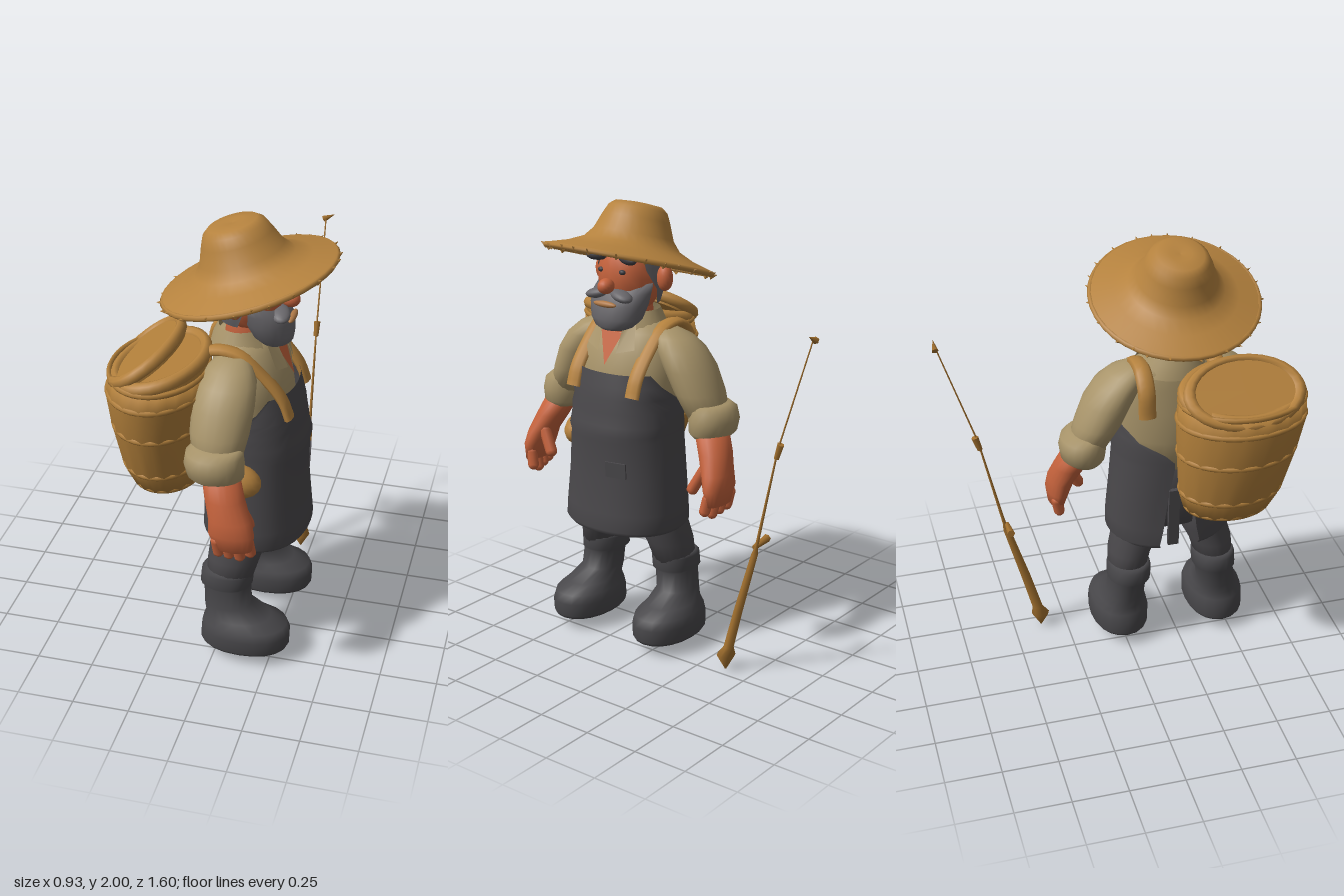
import * as THREE from 'three';

const MID = 0.23; // the figure's own mirror plane (z); it looks along +x
const mat = (name, color, side = THREE.DoubleSide) => {
  const m = new THREE.MeshStandardMaterial({ color, side });
  m.name = name;
  return m;
};

// Skin over horizontal oval sections [x, y, z, rx, rz, halfAngle]; closed when no halfAngle is given
function loft(secs, { seg = 20, mid = 0, power = 1, rib = 0 } = {}) {
  const pos = [], idx = [];
  const open = secs[0][5] !== undefined;
  const pow = (v) => Math.sign(v) * Math.abs(v) ** power;
  const rows = open ? secs : [[...secs[0].slice(0, 3), 0, 0], ...secs, [...secs.at(-1).slice(0, 3), 0, 0]];
  const cols = open ? seg + 1 : seg;
  for (const [x, y, z, rx, rz, half = Math.PI] of rows)
    for (let i = 0; i < cols; i++) {
      const a = mid - half + (2 * half * i) / seg;
      const k = 1 + rib * (i % 2);
      pos.push(x + rx * k * pow(Math.cos(a)), y, z + rz * k * pow(Math.sin(a)));
    }
  for (let j = 0; j < rows.length - 1; j++)
    for (let i = 0; i < seg; i++) {
      const a = j * cols + i, b = j * cols + ((i + 1) % cols);
      idx.push(a, a + cols, b, b, a + cols, b + cols);
    }
  const g = new THREE.BufferGeometry();
  g.setAttribute('position', new THREE.Float32BufferAttribute(pos, 3));
  g.setIndex(idx);
  g.computeVertexNormals();
  return g;
}

// Flat convex plate from a few corners
function plate(pts) {
  const g = new THREE.BufferGeometry();
  g.setAttribute('position', new THREE.Float32BufferAttribute(pts.flat(), 3));
  g.setIndex(pts.slice(2).flatMap((_, i) => [0, i + 1, i + 2]));
  g.computeVertexNormals();
  return g;
}

export function createModel() {
  const root = new THREE.Group();
  const M = {
    skin: mat('skin', 0xc4623c), shirt: mat('shirt cloth', 0xa8946a),
    dark: mat('dark cloth', 0x4a484b), boot: mat('boot rubber', 0x48474a),
    straw: mat('straw', 0xb5823e), wicker: mat('wicker', 0xb07e3a),
    beard: mat('grey hair', 0x69676b), brow: mat('dark brow', 0x3e3d42),
    lip: mat('lip', 0xb07a48), wood: mat('rod wood', 0xa3712f),
  };
  const add = (name, geo, m, p = [0, 0, 0], s = [1, 1, 1], r = [0, 0, 0], parent = root) => {
    const o = new THREE.Mesh(geo, m);
    o.name = name;
    o.position.set(...p); o.scale.set(...s); o.rotation.set(...r);
    parent.add(o);
    return o;
  };
  const ball = new THREE.SphereGeometry(1, 18, 12);
  const torso = (rows) => rows.map(([x, y, rx, rz, h]) => [x, y, MID, rx, rz, h]);

  // Torso, collar and apron
  add('shirt', loft(torso([[.115, .95, .17, .22], [.11, 1.1, .185, .235], [.1, 1.25, .175, .245], [.1, 1.36, .16, .235],
    [.07, 1.44, .13, .19], [.06, 1.49, .1, .12]])), M.shirt);
  add('collar', loft(torso([[.065, 1.42, .145, .165, 2.5], [.06, 1.48, .125, .135, 2.5], [.06, 1.53, .1, .115, 2.5]]),
    { mid: Math.PI }), M.shirt);
  add('neckline', plate([[.283, 1.31, MID], [.225, 1.45, MID + .06], [.225, 1.45, MID - .06]]), M.skin);
  add('hips', loft(torso([[.1, .62, .12, .2], [.11, .75, .15, .23], [.12, .98, .16, .22]])), M.dark);
  add('apron', loft(torso([[.13, .555, .225, .27, 2.85], [.132, .575, .235, .288, 2.85], [.13, .65, .23, .285, 2.9],
    [.125, .8, .222, .272, 2.95], [.125, .98, .222, .257, 3.05], [.13, 1.01, .227, .26, 3.05], [.125, 1.05, .22, .256, 2.9],
    [.118, 1.11, .218, .257, 2.4], [.115, 1.17, .212, .254, 1.6], [.112, 1.22, .204, .246, 1.3], [.11, 1.28, .19, .238, 1.0]]),
    { seg: 32, power: .9 }), M.dark);
  add('apronPocket', new THREE.BoxGeometry(.008, .07, .1), M.dark, [.336, .86, .13], [1, 1, 1], [0, .18, -.05]);
  add('apronTie', new THREE.BoxGeometry(.02, .3, .05), M.dark, [-.088, .72, .2], [1, 1, 1], [0, 0, .03]);

  // Limbs, straps and small face parts on both sides
  for (const s of [1, -1]) {
    const limb = (rows) => rows.map(([x, y, off, rx, rz]) => [x, y, MID + s * off, rx, rz]);
    add('leg', loft(limb([[.05, .36, .215, .1, .085], [.07, .48, .195, .115, .1], [.085, .56, .165, .125, .11],
      [.1, .75, .13, .13, .11]])), M.dark);
    add('boot', loft(limb([[.13, .055, .235, .19, .125], [.13, .07, .235, .2, .134], [.133, .13, .235, .2, .136],
      [.13, .17, .235, .188, .127], [.1, .2, .232, .145, .105], [.05, .25, .222, .105, .088], [.045, .34, .212, .103, .088],
      [.04, .35, .207, .116, .1], [.045, .41, .205, .116, .1], [.05, .425, .205, .1, .09]]), { power: .92 }), M.boot);
    add('sleeve', loft(limb([[.05, 1.08, .4, .1, .085], [.05, 1.2, .345, .125, .105], [.055, 1.3, .3, .13, .11],
      [.06, 1.38, .25, .12, .105], [.06, 1.43, .21, .09, .085], [.06, 1.46, .17, .05, .05]])), M.shirt);
    add('cuff', loft(limb([[.05, 1.01, .41, .095, .075], [.05, 1.035, .415, .12, .098], [.045, 1.09, .417, .127, .105],
      [.045, 1.135, .412, .12, .1], [.05, 1.16, .4, .1, .08]])), M.shirt);
    add('forearm', loft(limb([[.15, .75, .52, .08, .037], [.14, .82, .515, .098, .052], [.13, .88, .5, .09, .06],
      [.1, .96, .465, .083, .072], [.07, 1.06, .42, .078, .075]])), M.skin);
    for (let i = 0; i < 4; i++)
      add('finger', new THREE.CapsuleGeometry(.025, .06, 4, 8), M.skin,
        [.085 + i * .043, .755 - .01 * (i % 3), MID + s * (.525 - .008 * i)], [1, 1, 1], [s * .2, 0, .1]);
    add('thumb', new THREE.CapsuleGeometry(.027, .1, 4, 8), M.skin, [.18, .845, MID + s * .432], [1, 1, 1], [s * .5, 0, .15]);
    const path = new THREE.CatmullRomCurve3([[-.12, 1.28], [-.1, 1.4], [-.03, 1.465], [.09, 1.455], [.19, 1.37], [.27, 1.27],
      [.3, 1.19]].map(([x, y]) => new THREE.Vector3(x, y, 0)));
    add('shoulderStrap', new THREE.TubeGeometry(path, 24, .02, 8), M.straw, [0, 0, MID + s * .165], [1, 1, 1.95]);
    add('collarFlap', plate([[.175, 1.51, MID + s * .09], [.225, 1.46, MID + s * .055], [.265, 1.365, MID + s * .05],
      [.235, 1.385, MID + s * .13]]), M.shirt);
    add('ear', ball, M.skin, [.07, 1.68, MID + s * .17], [.035, .058, .038], [0, s * .4, 0]);
    add('eyebrow', ball, M.brow, [.212, 1.775, MID + s * .078], [.028, .024, .058], [s * .1, s * .3, 0]);
    add('eye', ball, M.brow, [.222, 1.715, MID + s * .058], [.012, .011, .016]);
    add('moustache', ball, M.beard, [.232, 1.615, MID + s * .06], [.042, .024, .065], [s * .2, s * .35, 0]);
  }

  // Head
  add('neck', loft(torso([[.09, 1.36, .12, .1], [.09, 1.6, .09, .09]])), M.skin);
  add('head', ball, M.skin, [.095, 1.68, MID], [.145, .18, .14]);
  add('nose', ball, M.skin, [.262, 1.655, MID], [.04, .034, .035]);
  add('hair', loft(torso([[.09, 1.56, .13, .125, 1.4], [.09, 1.63, .15, .146, 1.6], [.09, 1.72, .152, .148, 2.0],
    [.09, 1.8, .125, .125, 2.1]]), { mid: Math.PI }), M.beard);
  add('beard', loft(torso([[.215, 1.46, .045, .06], [.205, 1.475, .07, .095], [.19, 1.51, .09, .125], [.17, 1.57, .105, .14],
    [.15, 1.62, .095, .143], [.12, 1.66, .06, .14]])), M.beard);
  add('mouth', ball, M.lip, [.272, 1.578, MID], [.016, .014, .062]);

  // Straw hat with a frayed rim
  const hat = new THREE.Group();
  hat.name = 'hat';
  hat.position.set(.09, 1.74, .24);
  hat.rotation.z = .3;
  root.add(hat);
  const profile = [[.37, -.012], [.385, 0], [.37, .012], [.28, .038], [.215, .068], [.18, .11], [.152, .18], [.132, .222],
    [.105, .243], [.05, .248], [0, .242]].map(([r, y]) => new THREE.Vector2(r, y));
  add('crownAndBrim', new THREE.LatheGeometry(profile, 32), M.straw, [0, 0, 0], [1, 1, .97], [0, 0, 0], hat);
  add('rim', new THREE.TorusGeometry(.37, .013, 6, 36), M.straw, [0, 0, 0], [1, .98, 1], [Math.PI / 2, 0, 0], hat);
  for (let i = 0; i < 24; i++) {
    const a = (i + .3 * Math.sin(i * 5)) * Math.PI / 12;
    add('strawEnd', new THREE.ConeGeometry(.014, .035, 4), M.straw,
      [.38 * Math.cos(a), .006 * Math.sin(i * 3), .37 * Math.sin(a)], [1, 1, 1], [0, -a, -1.2], hat);
  }

  // Wicker basket with hoops, a rim rising toward the back of the figure and a tilted lid
  const wall = [[-.225, .86, .4, .145, .19], [-.235, .95, .41, .17, .225], [-.245, 1.15, .43, .192, .258],
    [-.245, 1.31, .445, .205, .278], [-.238, 1.39, .45, .2, .272]];
  add('basket', loft(wall, { seg: 36, rib: .035 }), M.wicker);
  wall.forEach(([x, y, z, rx, rz]) => add('basketHoop', new THREE.TorusGeometry(1, .05, 6, 36), M.wicker,
    [x, y + .01, z], [rx, rz, .25], [Math.PI / 2, 0, 0]));
  const rim = new THREE.Group();
  rim.name = 'basketTop';
  rim.position.set(-.23, 1.42, .45);
  rim.rotation.z = .22;
  root.add(rim);
  add('basketRim', new THREE.TorusGeometry(1, .13, 8, 36), M.straw, [0, 0, 0], [.185, .25, .22], [Math.PI / 2, 0, 0], rim);
  add('basketFill', new THREE.CylinderGeometry(1, 1, .06, 28), M.wicker, [0, -.02, 0], [.185, 1, .255], [0, 0, 0], rim);
  const lid = new THREE.Group();
  lid.name = 'basketLid';
  lid.position.set(-.29, 1.445, .44);
  lid.rotation.z = .6;
  root.add(lid);
  add('lidDisc', new THREE.CylinderGeometry(1, .95, .05, 28), M.wicker, [0, -.005, 0], [.165, 1, .25], [0, 0, 0], lid);
  add('lidRim', new THREE.TorusGeometry(1, .12, 8, 28), M.straw, [0, .005, 0], [.16, .24, .22], [Math.PI / 2, 0, 0], lid);
  add('hipPouch', ball, M.straw, [.1, .925, .51], [.11, .075, .075], [0, 0, -.2]);

  // Leaning rod with pointed foot, peg and hook
  add('rod', loft([[.2, 0, -.37, .003, .003], [.2, .07, -.372, .042, .042], [.2, .11, -.385, .022, .024],
    [.2, .3, -.435, .018, .022], [.2, .58, -.515, .014, .016], [.2, .62, -.525, .007, .008], [.2, 1.08, -.625, .004, .004],
    [.2, 1.58, -.785, .003, .003]], { seg: 8 }), M.wood);
  add('rodPeg', new THREE.CylinderGeometry(.018, .011, .1, 6), M.wood, [.15, .62, -.513], [1, 1, 1], [0, 0, 1.45]);
  add('rodKnot', new THREE.CylinderGeometry(.016, .012, .07, 6), M.wood, [.2, 1.07, -.628], [1, 1, 1], [-.3, 0, 0]);
  add('rodHook', new THREE.ConeGeometry(.016, .06, 5), M.wood, [.215, 1.58, -.787], [1, 1, 1], [0, 0, -1.1]);
  return root;
}
